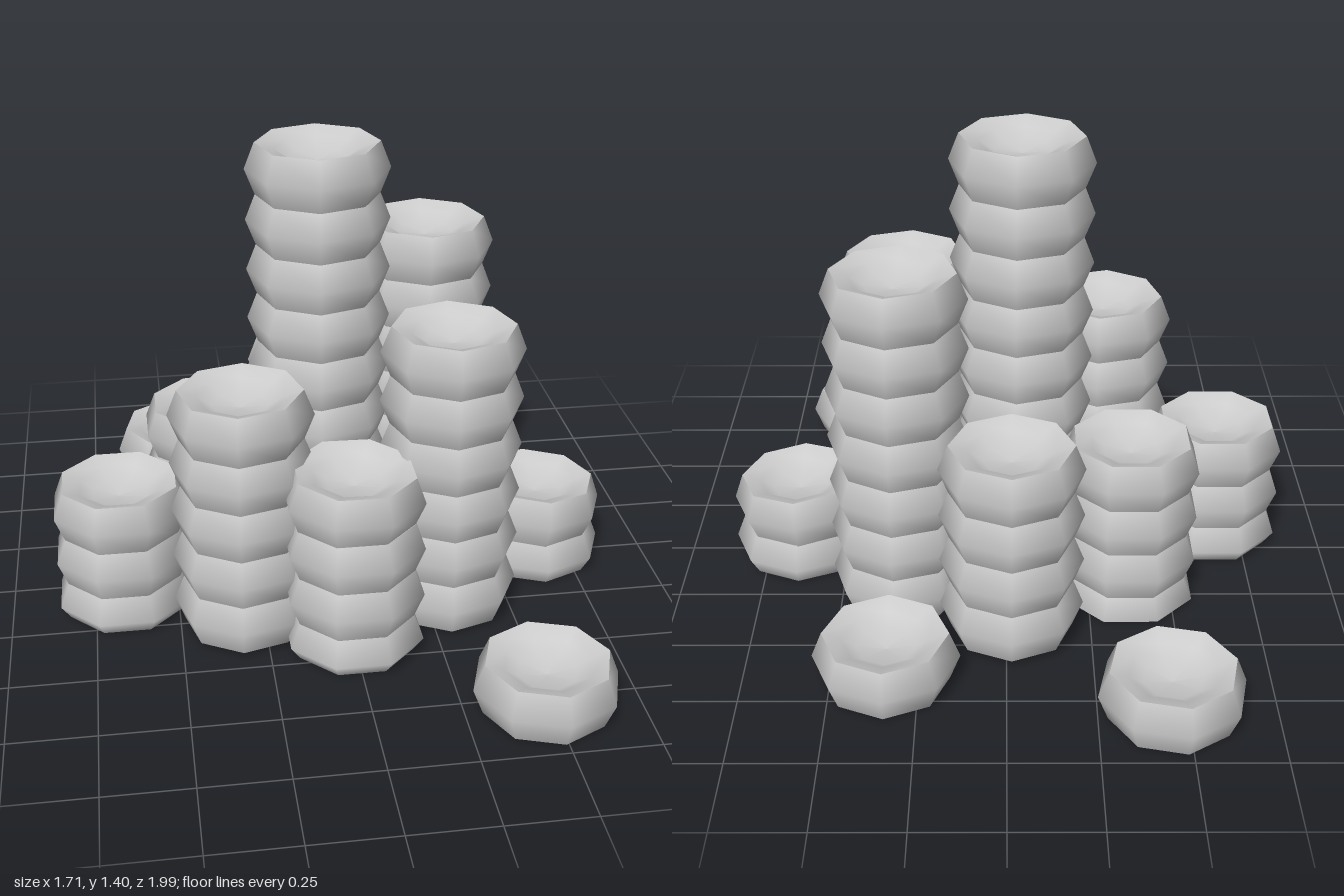
import * as THREE from 'three';

const SIDES = 8, HEIGHT = 0.155, PITCH = 0.152;
const material = new THREE.MeshStandardMaterial({ color: 0xcccccc, side: THREE.DoubleSide });

function lathe(points, name) {
  const profile = points.map(([r, y]) => new THREE.Vector2(r, y));
  const mesh = new THREE.Mesh(new THREE.LatheGeometry(profile, SIDES), material);
  mesh.name = name;
  return mesh;
}

// One faceted segment with its top at y = 0; floor is the ground level below it
function makeSegment(floor) {
  const segment = new THREE.Group();
  segment.name = 'segment';
  const onGround = ([r, y]) => [r, Math.max(y, floor)];
  // bulging wall, open at the bottom and flattened where it meets the ground
  segment.add(lathe([[0.18, -HEIGHT], [0.21, -HEIGHT / 2], [0.18, 0]].map(onGround), 'wall'));
  // hollow in the top
  segment.add(lathe([[0.18, 0], [0.125, -0.02], [0.085, -0.045], [0, -0.055]].map(onGround), 'bowl'));
  return segment;
}

// x, z, height, turn in degrees, tilt of the top segment about x and z in degrees
const COLUMNS = [
  [-0.455, -0.79, 0.155, 10],
  [0.34, -0.645, 0.155, 0],
  [-0.015, -0.42, 0.63, 0],
  [-0.37, -0.195, 0.525, 22.5],
  [0.315, -0.235, 1.08, -5],
  [-0.045, -0.02, 1.4, -5],
  [0.645, 0, 0.283, 0, 0, -2.5],
  [-0.66, 0.1, 0.425, 22.5],
  [-0.305, 0.265, 0.775, -7],
  [0.31, 0.24, 0.925, -5],
  [0, 0.405, 0.575, 22.5, 1.5, -1],
  [0.48, 0.785, 0.155, 4],
];

export function createModel() {
  const model = new THREE.Group();
  model.name = 'columnCluster';
  const rad = THREE.MathUtils.degToRad;

  for (const [x, z, height, turn, tiltX = 0, tiltZ = 0] of COLUMNS) {
    const column = new THREE.Group();
    column.name = 'column';
    column.position.set(x, 0, z);
    // stack segments from the top down to the ground
    for (let top = height; top > 0.035; top -= PITCH) {
      const segment = makeSegment(-top);
      segment.position.y = top;
      segment.rotation.order = 'XZY';
      segment.rotation.y = rad(turn);
      if (top === height) {
        segment.rotation.x = rad(tiltX);
        segment.rotation.z = rad(tiltZ);
      }
      column.add(segment);
    }
    model.add(column);
  }
  return model;
}
